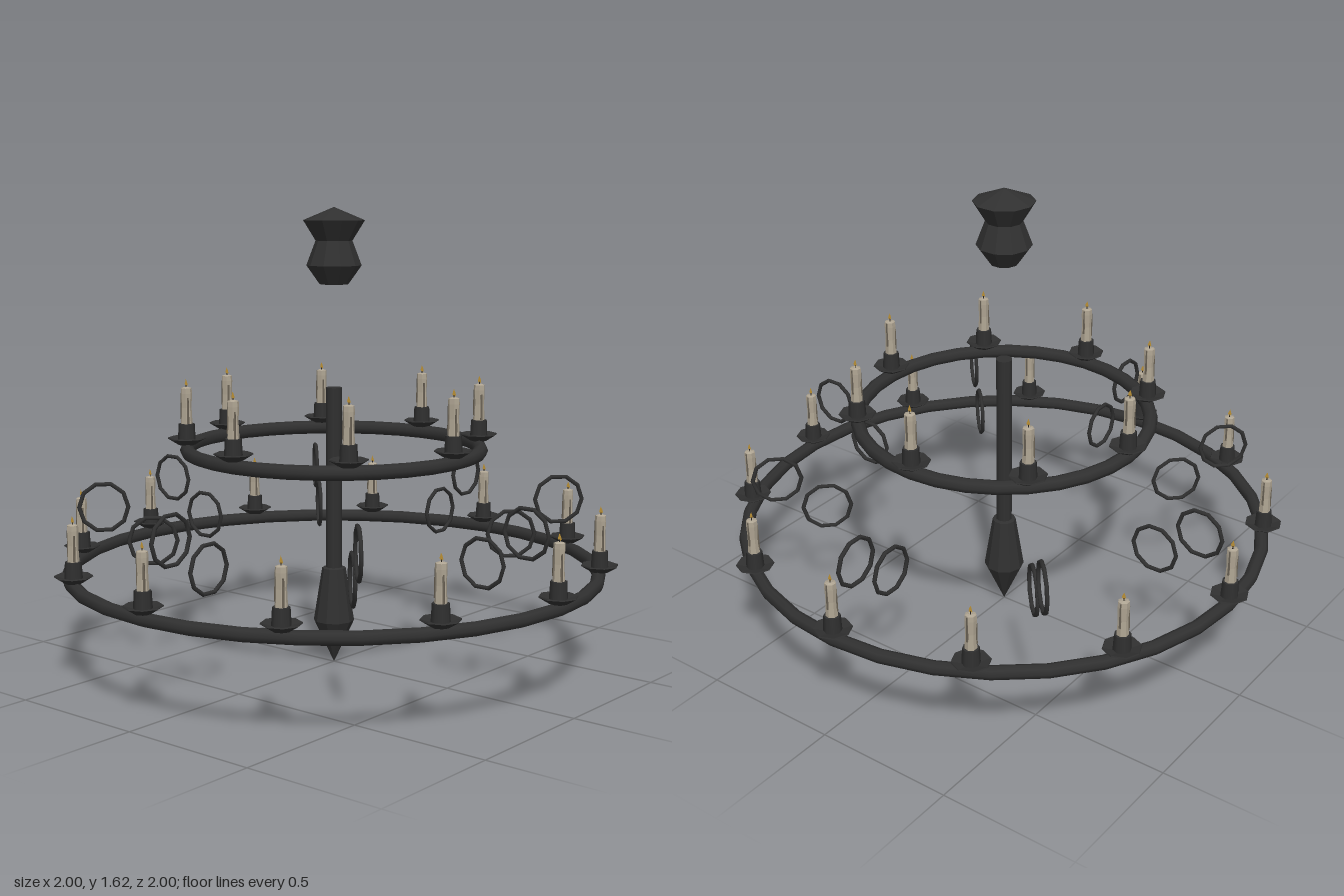
import * as THREE from 'three';

const material = (name, color, side = THREE.FrontSide, flatShading = false) => {
  const m = new THREE.MeshStandardMaterial({ color, side, flatShading });
  m.name = name;
  return m;
};

export function createModel() {
  const root = new THREE.Group();
  root.name = 'chandelier';

  const iron = material('wrought iron', 0x303030);
  const ironFaceted = material('faceted iron', 0x303030, THREE.FrontSide, true);
  const wax = material('candle wax', 0xaea492, THREE.FrontSide, true);
  const drip = material('shaded wax', 0x6a6255, THREE.FrontSide, true);
  const flameMat = material('flame', 0xc79a3a, THREE.DoubleSide);
  const wickMat = material('wick', 0x2a2520);

  const add = (parent, name, geometry, mat, x = 0, y = 0, z = 0) => {
    const mesh = new THREE.Mesh(geometry, mat);
    mesh.name = name;
    mesh.position.set(x, y, z);
    parent.add(mesh);
    return mesh;
  };
  // Turned profile, listed from bottom to top, with a corner on the x axis
  const turned = (points, sides) =>
    new THREE.LatheGeometry(points.map(([r, y]) => new THREE.Vector2(r, y)), sides).rotateY(Math.PI / 2);

  // Central column: ceiling mount, post and hanging spike
  add(root, 'ceilingMount', turned(
    [[0, 1.355], [0.05, 1.355], [0.096, 1.42], [0.064, 1.505], [0.107, 1.575], [0, 1.62]], 10), ironFaceted);
  add(root, 'post', new THREE.CylinderGeometry(0.029, 0.029, 0.65, 10), iron, 0, 0.67, 0);
  add(root, 'spike', turned([[0, 0.005], [0.072, 0.16], [0.042, 0.35], [0, 0.36]], 10), ironFaceted);

  // Shared candle geometry, measured from the ring's centre height
  const dishGeo = turned([[0, 0.018], [0.03, 0.02], [0.066, 0.042], [0.064, 0.046], [0.03, 0.036], [0, 0.036]], 8);
  const cupGeo = new THREE.CylinderGeometry(0.028, 0.031, 0.06, 8);
  const waxGeo = turned([[0.021, 0.09], [0.018, 0.15], [0.02, 0.2], [0.019, 0.218], [0.008, 0.222], [0, 0.213]], 7);
  const dripGeo = new THREE.CylinderGeometry(0.0035, 0.005, 0.09, 5);
  const wickGeo = new THREE.CylinderGeometry(0.002, 0.002, 0.014, 4);
  const flameShape = new THREE.Shape([[0, 0], [0.008, 0.008], [0.005, 0.017], [-0.001, 0.028], [-0.007, 0.01]]
    .map(([x, y]) => new THREE.Vector2(x, y)));
  const flameGeo = new THREE.ShapeGeometry(flameShape);

  const makeCandle = () => {
    const candle = new THREE.Group();
    candle.name = 'candle';
    add(candle, 'dripDish', dishGeo, ironFaceted);
    add(candle, 'candleCup', cupGeo, iron, 0, 0.064, 0);
    add(candle, 'waxStick', waxGeo, wax);
    for (let i = 0; i < 3; i++) {
      const a = 0.5 + i * Math.PI * 2 / 3;
      add(candle, 'waxDrip', dripGeo, drip, Math.cos(a) * 0.017, 0.14 + i * 0.015, Math.sin(a) * 0.017);
    }
    add(candle, 'wick', wickGeo, wickMat, 0, 0.222, 0);
    add(candle, 'flame', flameGeo, flameMat, 0, 0.222, 0);
    return candle;
  };

  // Two tiers: a round hoop with evenly spaced candles
  const tiers = [
    { name: 'lowerTier', radius: 0.932, tube: 0.024, y: 0.352, count: 12 },
    { name: 'upperTier', radius: 0.515, tube: 0.025, y: 0.78, count: 8 },
  ];
  for (const { name, radius, tube, y, count } of tiers) {
    const tier = new THREE.Group();
    tier.name = name;
    tier.position.y = y;
    add(tier, 'hoop', new THREE.TorusGeometry(radius, tube, 8, 32).rotateX(Math.PI / 2), iron);
    for (let i = 0; i < count; i++) {
      const a = i * Math.PI * 2 / count;
      const candle = makeCandle();
      candle.position.set(Math.cos(a) * radius, 0, Math.sin(a) * radius);
      tier.add(candle);
    }
    root.add(tier);
  }

  // Eight radial pairs of chain links between the tiers
  const linkGeo = new THREE.TorusGeometry(0.085, 0.0075, 6, 10);
  for (let i = 0; i < 8; i++) {
    const chain = new THREE.Group();
    chain.name = 'chain';
    chain.rotation.y = i * Math.PI / 4;
    add(chain, 'outerLink', linkGeo, iron, 0.807, 0.583, 0);
    add(chain, 'innerLink', linkGeo, iron, 0.637, 0.46, 0);
    root.add(chain);
  }
  return root;
}
